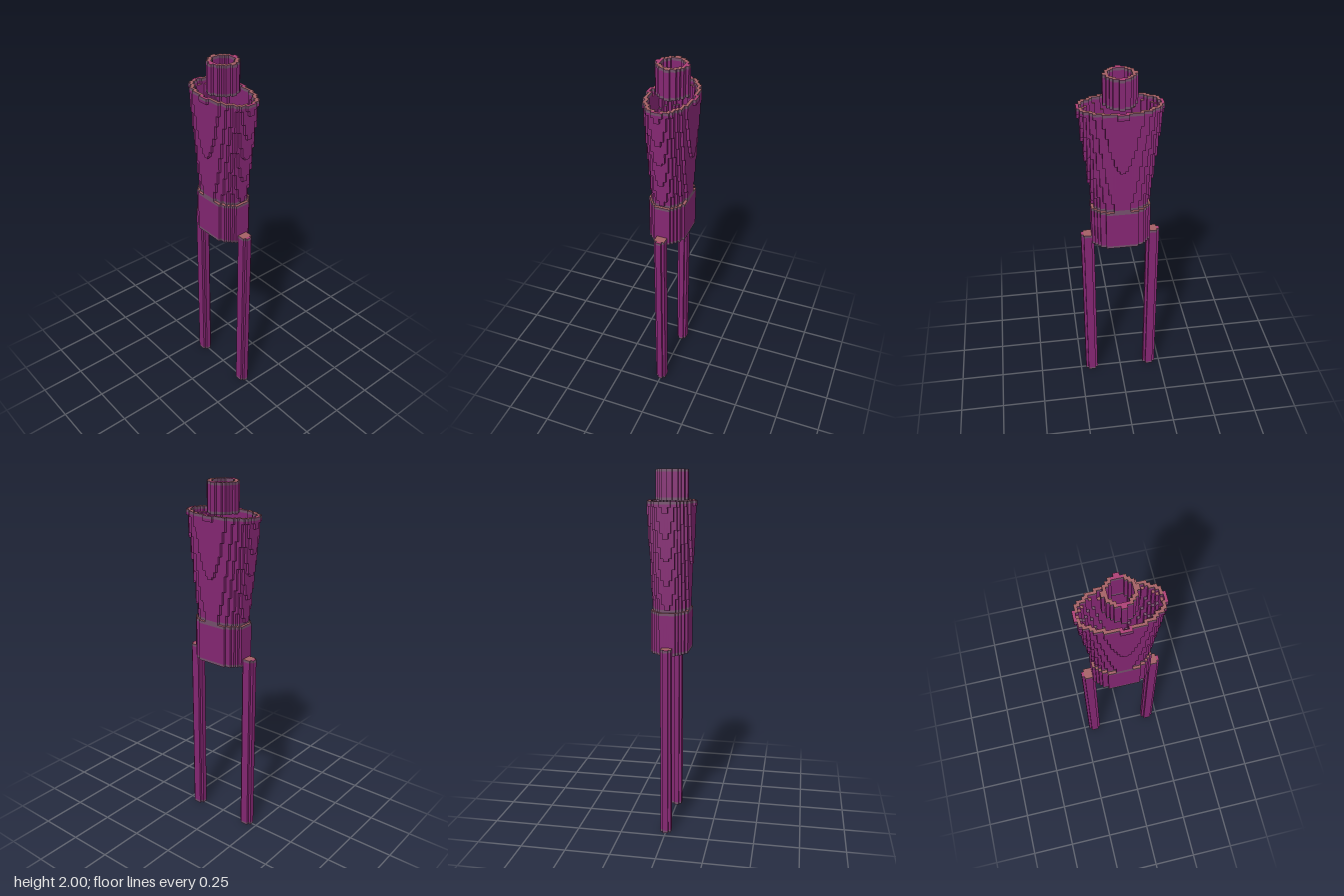
import * as THREE from 'three';

const S = 2 / 137; // edge length of one block
const paint = (name, color) => new THREE.MeshStandardMaterial({ name, color });
const materials = [
  paint('plum', 0x842672),
  paint('dusty rose', 0xa46065),
  paint('warm grey', 0x6c5660),
  paint('pink', 0xac3f75),
  paint('grey mauve', 0x754f6c),
];
const [PLUM, ROSE, GREY, PINK, MAUVE] = materials.keys();

// Colour of an upward face: rose rims with pink at the axes, plum and grey ledges below
function topColour(x, z, isRim) {
  const ax = Math.abs(x + 0.5), az = Math.abs(z + 0.5);
  if (isRim) return ax < 2 || (az < 2 && ax > 14) ? PINK : ROSE;
  if (ax < 1 || az < 1) return PLUM;
  return z < 0 ? MAUVE : GREY;
}

// Block skin of a part filling layers y0..y1, where filled(x, y, z) is tested per block.
// Layers from rimY upwards count as its rim; the end layers carry a mauve edge band.
function blockPart(name, y0, y1, rimY, filled) {
  const has = (x, y, z) => y >= y0 && y < y1 && filled(x, y, z);
  const faces = materials.map(() => []);
  const quad = (colour, o, u, v) => {
    const p = (i, j) => o.map((c, k) => (c + i * u[k] + j * v[k]) * S);
    faces[colour].push(...p(0, 0), ...p(1, 0), ...p(1, 1), ...p(0, 0), ...p(1, 1), ...p(0, 1));
  };
  const bands = [[y0, y0 + 1, MAUVE], [y0 + 1, y1 - 1, PLUM], [y1 - 1, y1, MAUVE]];
  for (let x = -16; x < 16; x++) for (let z = -10; z < 10; z++) {
    // Upright faces, merged into tall strips within each band
    for (const [dx, dz] of [[1, 0], [-1, 0], [0, 1], [0, -1]]) {
      const ox = x + (dx > 0 || dz < 0 ? 1 : 0);
      const oz = z + (dz > 0 || dx > 0 ? 1 : 0);
      for (const [from, to, colour] of bands) {
        let start = null;
        for (let y = from; y <= to; y++) {
          const open = y < to && has(x, y, z) && !has(x + dx, y, z + dz);
          if (open && start === null) start = y;
          if (!open && start !== null) {
            quad(colour, [ox, start, oz], [dz, 0, -dx], [0, y - start, 0]);
            start = null;
          }
        }
      }
    }
    // Level faces
    for (let y = y0; y < y1; y++) {
      if (!has(x, y, z)) continue;
      if (!has(x, y + 1, z)) quad(topColour(x, z, y >= rimY), [x, y + 1, z], [0, 0, 1], [1, 0, 0]);
      if (!has(x, y - 1, z)) quad(GREY, [x, y, z], [1, 0, 0], [0, 0, 1]);
    }
  }
  const geometry = new THREE.BufferGeometry();
  geometry.setAttribute('position', new THREE.Float32BufferAttribute(faces.flat(), 3));
  let first = 0;
  faces.forEach((list, i) => {
    if (list.length) geometry.addGroup(first, list.length / 3, i);
    first += list.length / 3;
  });
  geometry.computeVertexNormals();
  const mesh = new THREE.Mesh(geometry, materials);
  mesh.name = name;
  return mesh;
}

const inEllipse = (x, z, a, b) => ((x + 0.5) / a) ** 2 + ((z + 0.5) / b) ** 2 < 1;

// One-block wall that follows an ellipse
function inRing(x, z, a, b) {
  if (!inEllipse(x, z, a, b)) return false;
  for (let i = -1; i <= 1; i++) for (let j = -1; j <= 1; j++) {
    if (!inEllipse(x + i, z + j, a, b)) return true;
  }
  return false;
}

export function createModel() {
  const model = new THREE.Group();
  model.name = 'blockFigure';

  // Hollow neck, flaring torso and straight waist
  model.add(blockPart('neck', 126, 137, 136, (x, y, z) => inRing(x, z, 5.6, 5.6)));
  model.add(blockPart('torso', 86, 126, 120, (x, y, z) => {
    const t = (y - 86) / 39;
    return inRing(x, z, 10.45 + 4.5 * t, 6.7 + 1.9 * t);
  }));
  model.add(blockPart('waist', 70, 86, 85, (x, y, z) => inRing(x, z, 11.4, 7.45)));

  // Slim legs
  for (const [name, side] of [['leftLeg', 1], ['rightLeg', -1]]) {
    model.add(blockPart(name, 0, 73, 72, (x, y, z) => inEllipse(x - side * 12.5, z, 2.6, 2.1)));
  }
  return model;
}
